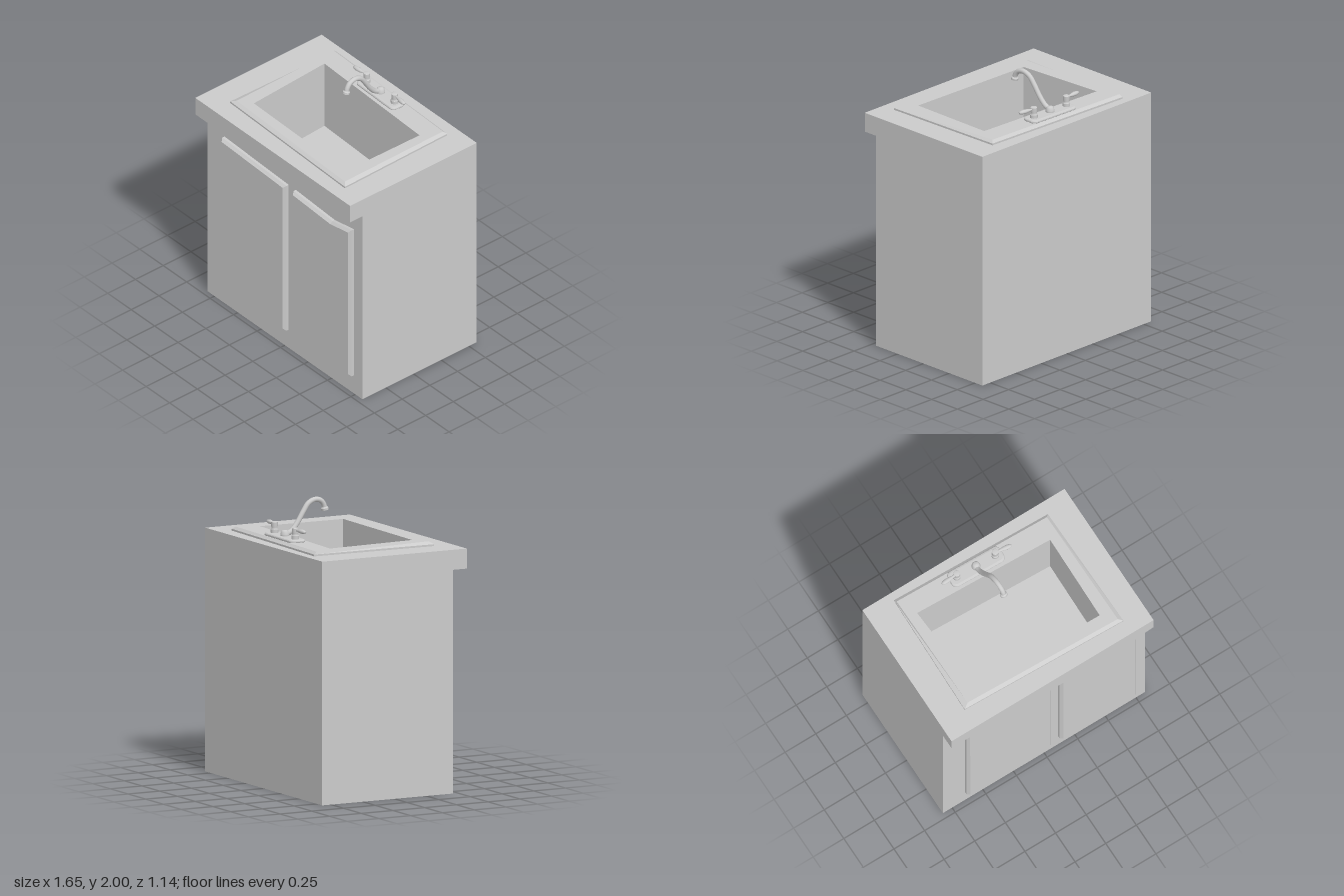
import * as THREE from 'three';

const grey = new THREE.MeshStandardMaterial({ color: 0xcccccc });
const flat = new THREE.MeshStandardMaterial({ color: 0xcccccc, flatShading: true, side: THREE.DoubleSide });

const shapeOf = pts => new THREE.Shape(pts.map(([x, y]) => new THREE.Vector2(x, y)));
// plan points [x, z] become shape points that extrude upwards after rotateX
const planShape = pts => shapeOf(pts.map(([x, z]) => [x, -z]));

function part(name, geometry, parent, material = grey) {
  const mesh = new THREE.Mesh(geometry, material);
  mesh.name = name;
  parent.add(mesh);
  return mesh;
}

// walls joining successive closed loops of 3D corners
function loft(loops) {
  const pos = [];
  for (let k = 0; k < loops.length - 1; k++) {
    const a = loops[k], b = loops[k + 1], n = a.length;
    for (let i = 0; i < n; i++) {
      const j = (i + 1) % n;
      pos.push(...a[i], ...a[j], ...b[j], ...a[i], ...b[j], ...b[i]);
    }
  }
  const g = new THREE.BufferGeometry();
  g.setAttribute('position', new THREE.Float32BufferAttribute(pos, 3));
  g.computeVertexNormals();
  return g;
}

const lathe = (pts, segments = 16) =>
  new THREE.LatheGeometry(pts.map(([r, y]) => new THREE.Vector2(r, y)), segments);

export function createModel() {
  const model = new THREE.Group();
  model.name = 'sinkCabinet';

  // Cabinet block with the basin opening; plan corners run counter-clockwise from above
  const basin = [[-0.525, -0.34], [-0.485, 0.33], [0.525, 0.35], [0.535, -0.30]];
  const plan = planShape([[-0.825, 0.46], [0.825, 0.46], [0.825, -0.57], [-0.825, -0.57]]);
  plan.holes.push(planShape(basin));
  part('cabinet', new THREE.ExtrudeGeometry(plan, { depth: 1.7, bevelEnabled: false })
    .rotateX(-Math.PI / 2), model);
  part('basinFloor', new THREE.ExtrudeGeometry(planShape(basin), { depth: 1.2, bevelEnabled: false })
    .rotateX(-Math.PI / 2), model);

  // Overhanging counter front with an uneven lower edge
  const apron = shapeOf([[-0.825, 1.56], [-0.5, 1.56], [0.53, 1.505], [0.825, 1.56], [0.825, 1.7], [-0.825, 1.7]]);
  part('counterFront', new THREE.ExtrudeGeometry(apron, { depth: 0.11, bevelEnabled: false })
    .translate(0, 0, 0.46), model);

  // Doors, their rear edges sunk into the cabinet
  const doors = {
    rightDoor: [[-0.645, 0.16], [0.04, 0.155], [0.04, 1.39], [-0.645, 1.42]],
    leftDoor: [[0.115, 0.16], [0.53, 0.153], [0.735, 0.155], [0.735, 1.4], [0.53, 1.365], [0.115, 1.39]],
  };
  for (const [name, pts] of Object.entries(doors)) {
    part(name, new THREE.ExtrudeGeometry(shapeOf(pts), {
      depth: 0.04, bevelThickness: 0.02, bevelSize: 0.018, bevelOffset: -0.018, bevelSegments: 1,
    }).translate(0, 0, 0.44), model);
  }

  // Raised sink rim with a sloping outer edge
  const outer = [[-0.605, -0.51], [-0.625, 0.425], [0.645, 0.465], [0.627, -0.472]];
  const inner = [[-0.598, -0.487], [-0.585, 0.4], [0.615, 0.44], [0.605, -0.452]];
  const at = (pts, y) => pts.map(([x, z]) => [x, y, z]);
  part('sinkRim', loft([at(outer, 1.7), at(outer, 1.713), at(inner, 1.73), at(basin, 1.73), at(basin, 1.69)]),
    model, flat);

  // Tap set, turned slightly on the rim
  const tap = new THREE.Group();
  tap.name = 'tap';
  tap.position.set(-0.003, 1.728, -0.405);
  tap.rotation.y = -0.03;
  model.add(tap);

  // Rounded base plate
  const w = 0.195, d = 0.047, r = 0.022;
  const plate = new THREE.Shape();
  plate.absarc(w - r, d - r, r, 0, Math.PI / 2);
  plate.absarc(-w + r, d - r, r, Math.PI / 2, Math.PI);
  plate.absarc(-w + r, -d + r, r, Math.PI, Math.PI * 1.5);
  plate.absarc(w - r, -d + r, r, Math.PI * 1.5, Math.PI * 2);
  part('basePlate', new THREE.ExtrudeGeometry(plate, {
    depth: 0.008, bevelThickness: 0.009, bevelSize: 0.015, bevelSegments: 2, curveSegments: 6,
  }).rotateX(-Math.PI / 2).translate(0, 0.005, 0), tap);

  // Handles: a stepped post and a paddle lever on each side
  for (const side of [-1, 1]) {
    const handle = new THREE.Group();
    handle.name = side > 0 ? 'leftHandle' : 'rightHandle';
    handle.position.x = side * 0.154;
    tap.add(handle);
    part('post', lathe([[0.027, 0], [0.027, 0.045], [0.027, 0.045], [0.021, 0.05], [0.021, 0.062],
      [0.023, 0.066], [0.023, 0.096], [0.023, 0.096], [0.018, 0.1], [0, 0.1]]), handle);
    const lever = part('lever', lathe([[0.009, 0], [0.009, 0.035], [0.015, 0.06], [0.018, 0.085],
      [0.015, 0.11], [0.01, 0.124], [0, 0.127]], 12), handle);
    lever.scale.x = 0.85;
    lever.position.y = 0.084;
    lever.rotation.set(0, side > 0 ? -0.1 : 0.1, -side * Math.PI / 2);
  }

  // Swan-neck spout with a flared nozzle
  part('spoutBase', lathe([[0.031, 0], [0.031, 0.03], [0.031, 0.03], [0.027, 0.05], [0.018, 0.06], [0, 0.062]]), tap);
  const path = new THREE.CatmullRomCurve3([
    [-0.008, 1.76, -0.395], [-0.006, 1.785, -0.35], [-0.002, 1.835, -0.305], [0.002, 1.905, -0.258],
    [0.006, 1.96, -0.215], [0.01, 1.982, -0.16], [0.013, 1.97, -0.112], [0.015, 1.94, -0.088], [0.015, 1.915, -0.081],
  ].map(p => new THREE.Vector3(...p)));
  part('spout', new THREE.TubeGeometry(path, 40, 0.018, 12), model);
  const nozzle = part('nozzle', lathe([[0, -0.012], [0.026, -0.012], [0.026, -0.012], [0.026, 0.002],
    [0.026, 0.002], [0.017, 0.012]]), model);
  nozzle.position.set(0.015, 1.914, -0.081);
  nozzle.rotation.x = -0.25;

  return model;
}
